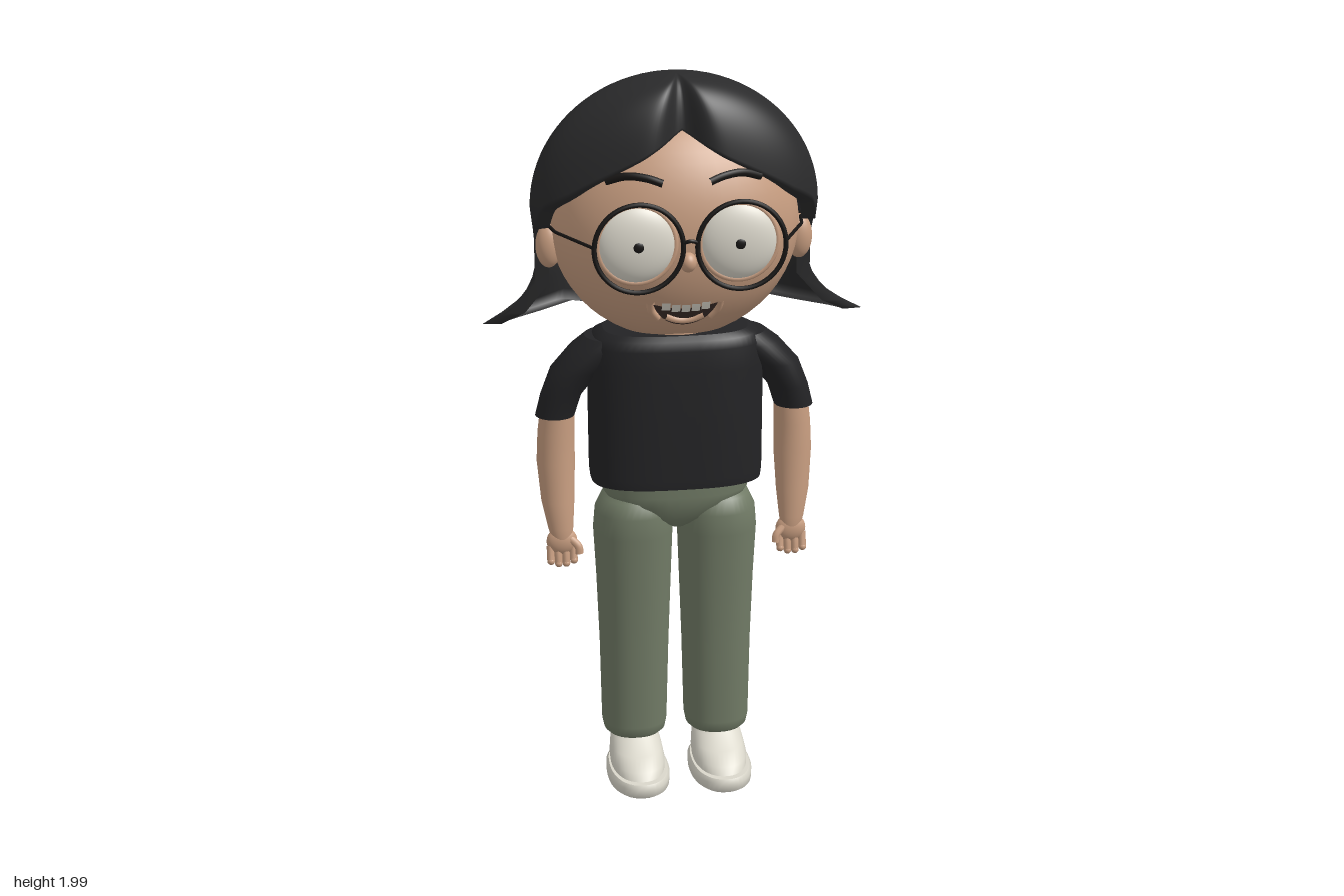
import * as THREE from 'three';

const mat = (name, color, side = THREE.FrontSide) => {
  const m = new THREE.MeshStandardMaterial({ color, side });
  m.name = name;
  return m;
};

// Stacked horizontal superellipse rings [x, y, z, halfWidth, halfDepth], bottom to top, closed at both ends
function loft(rings, power = 2, n = 40) {
  const first = rings[0], last = rings[rings.length - 1];
  const flat = (r) => [r[0], r[1], r[2], 0, 0];
  // doubled end rings keep the rim crisp
  const all = [flat(first), first, first, ...rings.slice(1), last, flat(last)];
  const pos = [], idx = [];
  const sp = (v) => Math.sign(v) * Math.abs(v) ** (2 / power);
  all.forEach(([x, y, z, hx, hz], i) => {
    for (let j = 0; j < n; j++) {
      const a = (j / n) * Math.PI * 2;
      pos.push(x + hx * sp(Math.cos(a)), y, z + hz * sp(Math.sin(a)));
      if (i === all.length - 1) continue;
      const k = (j + 1) % n, p = i * n + j, q = i * n + k;
      idx.push(p, p + n, q, p + n, q + n, q);
    }
  });
  return surface(pos, idx);
}

function surface(pos, idx) {
  const g = new THREE.BufferGeometry();
  g.setAttribute('position', new THREE.Float32BufferAttribute(pos, 3));
  g.setIndex(idx);
  g.computeVertexNormals();
  return g;
}

// Head is an ellipsoid; headZ gives its front surface
const HEAD = { y: 1.6, rx: 0.33, ry: 0.31, rz: 0.225 };
const headZ = (x, y) =>
  HEAD.rz * Math.sqrt(Math.max(0, 1 - (x / HEAD.rx) ** 2 - ((y - HEAD.y) / HEAD.ry) ** 2));

// Smooth interpolation through [key, value] pairs
function sample(table, t) {
  for (let i = 1; i < table.length; i++) {
    const [a, va] = table[i - 1], [b, vb] = table[i];
    if (t <= b) return va + (vb - va) * ((t - a) / (b - a));
  }
  return table[table.length - 1][1];
}

// Bob hair: columns run from the crown to a hem whose height depends on the angle (0 = front)
function hairGeometry() {
  const hem = [[0, 1.87], [0.18, 1.835], [0.35, 1.8], [0.6, 1.755], [0.9, 1.7], [1.2, 1.66],
    [1.4, 1.605], [1.63, 1.59], [1.7, 1.36], [1.85, 1.32], [2.3, 1.35], [2.7, 1.32], [3.15, 1.335]];
  const cols = 180, rows = 36, pos = [], idx = [];
  for (let i = 0; i <= rows + 1; i++) {
    for (let j = 0; j < cols; j++) {
      const th = (j / cols) * Math.PI * 2 - Math.PI, a = Math.abs(th);
      const v = Math.min(i / rows, 1), y = 2 - (2 - sample(hem, a)) * v ** 1.6;
      const up = Math.max(0, (y - 1.65) / 0.35), low = Math.max(0, 1.65 - y);
      const round = Math.sqrt(Math.max(0, 1 - up * up));
      const full = Math.max(0, 1 - up ** 3.5) ** (1 / 3.5);
      // side tips flick outward
      const flick = Math.max(0, (1.5 - y) / 0.18) ** 2 * Math.exp(-(((a - 1.85) / 0.35) ** 2));
      const wave = 1 + 0.09 * low * Math.cos(th * 14);
      const parting = 1 - 0.3 * Math.exp(-((th / 0.16) ** 2));
      const rim = i > rows ? 0.9 : 1;
      const hx = 0.382 * round - 0.12 * Math.min(low, 0.2);
      const hz = Math.cos(th) > 0 ? 0.185 * full * parting : 0.268 * round * wave;
      const reach = th > 0 ? 0.185 : 0.165;
      pos.push(rim * (Math.sin(th) * hx + Math.sign(th) * flick * reach), y,
        rim * Math.cos(th) * hz);
      if (i > rows) continue;
      const k = (j + 1) % cols, p = i * cols + j, q = i * cols + k;
      idx.push(p, p + cols, q, p + cols, q + cols, q);
    }
  }
  return surface(pos, idx);
}

export function createModel() {
  const skin = mat('skin', 0xc79d80), hairMat = mat('hair', 0x2a2a2b, THREE.DoubleSide);
  const shirtMat = mat('shirt', 0x232325), pantsMat = mat('trousers', 0x717b66);
  const shoeMat = mat('shoes', 0xdad7cb), eyeMat = mat('eyeWhite', 0xdcd8cc);
  const black = mat('frameBlack', 0x171514), mouthMat = mat('mouth', 0x3a2c28);

  const root = new THREE.Group();
  root.name = 'figure';
  const add = (name, geo, material, x = 0, y = 0, z = 0) => {
    const m = new THREE.Mesh(geo, material);
    m.name = name;
    m.position.set(x, y, z);
    root.add(m);
    return m;
  };
  const ball = (name, material, x, y, z, rx, ry, rz) => {
    const m = add(name, new THREE.SphereGeometry(1, 40, 28), material, x, y, z);
    m.scale.set(rx, ry, rz);
    return m;
  };
  const tube = (name, pts, r, material, straight = false) => {
    const v = pts.map((p) => new THREE.Vector3(...p));
    const curve = straight ? new THREE.CurvePath() : new THREE.CatmullRomCurve3(v);
    if (straight) for (let i = 1; i < v.length; i++) curve.add(new THREE.LineCurve3(v[i - 1], v[i]));
    return add(name, new THREE.TubeGeometry(curve, 24, r, 8), material);
  };

  // Head and hair
  ball('head', skin, 0, HEAD.y, 0, HEAD.rx, HEAD.ry, HEAD.rz);
  ball('nose', skin, 0, 1.55, 0.225, 0.022, 0.026, 0.025);
  add('hair', hairGeometry(), hairMat);
  add('neck', new THREE.CylinderGeometry(0.1, 0.1, 0.1, 32), skin, 0, 1.32, 0);

  // Mouth: open grin, teeth, lower lip and cheek folds
  const onFace = (geo, lift) => {
    const p = geo.attributes.position;
    for (let i = 0; i < p.count; i++) p.setZ(i, headZ(p.getX(i), p.getY(i)) + lift);
    geo.computeVertexNormals();
    return geo;
  };
  const grin = new THREE.Shape();
  grin.moveTo(-0.085, 1.43);
  grin.quadraticCurveTo(0, 1.405, 0.085, 1.43);
  grin.quadraticCurveTo(0.06, 1.365, 0, 1.363);
  grin.quadraticCurveTo(-0.06, 1.365, -0.085, 1.43);
  add('mouth', onFace(new THREE.ShapeGeometry(grin, 16), 0.007), mouthMat);
  for (let i = 0; i < 5; i++) {
    const x = (i - 2) * 0.026;
    const tooth = new THREE.PlaneGeometry(0.022, 0.022, 2, 2).translate(x, 1.418 + 2 * x * x, 0);
    add('tooth', onFace(tooth, 0.011), eyeMat);
  }
  tube('lowerLip', [-0.05, -0.025, 0, 0.025, 0.05].map((x) => {
    const y = 1.377 + 6 * x * x;
    return [x, y, headZ(x, y) + 0.004];
  }), 0.009, skin);

  for (const s of [-1, 1]) {
    // Face details
    ball('ear', skin, s * 0.335, 1.55, 0, 0.035, 0.06, 0.03);
    ball('eye', eyeMat, s * 0.132, 1.6, 0.213, 0.104, 0.104, 0.042);
    add('eyeRim', new THREE.TorusGeometry(0.1, 0.008, 10, 48), skin, s * 0.132, 1.6, 0.222);
    ball('pupil', black, s * 0.131, 1.6, 0.253, 0.014, 0.014, 0.005);
    const brow = [[0.06, 1.75], [0.1, 1.762], [0.15, 1.765], [0.2, 1.75]];
    tube('eyebrow', brow.map(([x, y]) => [s * x, y, headZ(x, y) + 0.004]), 0.0105, black);
    tube('cheekFold', [[0.092, 1.435], [0.088, 1.41], [0.07, 1.385]]
      .map(([x, y]) => [s * x, y, headZ(x, y) + 0.003]), 0.01, skin);

    // Spectacles
    add('lensFrame', new THREE.TorusGeometry(0.114, 0.0065, 10, 56), black, s * 0.132, 1.6, 0.265);
    tube('temple', [[s * 0.243, 1.605, 0.265], [s * 0.325, 1.605, 0.08], [s * 0.342, 1.605, -0.03]],
      0.0045, black, true);

    // Sleeve, arm and hand
    add('sleeve', loft([
      [s * 0.327, 1.08, -0.002, 0.053, 0.054], [s * 0.31, 1.14, 0, 0.055, 0.06],
      [s * 0.268, 1.21, 0, 0.07, 0.075], [s * 0.2, 1.27, 0, 0.085, 0.085],
      [s * 0.17, 1.3, 0, 0.075, 0.08],
    ]), shirtMat);
    add('arm', loft([
      [s * 0.318, 0.735, 0.036, 0.028, 0.022], [s * 0.32, 0.765, 0.034, 0.034, 0.027],
      [s * 0.325, 0.84, 0.016, 0.045, 0.041], [s * 0.327, 0.95, -0.002, 0.052, 0.05],
      [s * 0.325, 1.03, -0.003, 0.05, 0.05], [s * 0.318, 1.12, -0.003, 0.046, 0.046],
    ]), skin);
    ball('palm', skin, s * 0.318, 0.727, 0.036, 0.042, 0.04, 0.023);
    for (let i = 0; i < 4; i++) {
      const x = 0.287 + i * 0.021, tip = 0.662 + 0.008 * Math.abs(i - 1.5);
      tube('finger', [[s * x, 0.715, 0.038], [s * x, 0.69, 0.045], [s * x, tip, 0.05]], 0.0105, skin);
      ball('fingertip', skin, s * x, tip, 0.05, 0.0105, 0.0105, 0.0105);
    }
    tube('thumb', [[s * 0.295, 0.735, 0.045], [s * 0.275, 0.715, 0.055], [s * 0.272, 0.695, 0.058]],
      0.011, skin);

    // Trouser leg
    add('trouserLeg', loft([
      [s * 0.117, 0.13, -0.003, 0.076, 0.076], [s * 0.117, 0.14, -0.003, 0.086, 0.086],
      [s * 0.117, 0.165, -0.003, 0.091, 0.09], [s * 0.116, 0.4, -0.004, 0.096, 0.095],
      [s * 0.116, 0.6, -0.006, 0.103, 0.105], [s * 0.117, 0.74, -0.007, 0.109, 0.115],
      [s * 0.115, 0.8, -0.006, 0.106, 0.115], [s * 0.112, 0.84, -0.005, 0.09, 0.1],
      [s * 0.11, 0.87, -0.005, 0.05, 0.06],
    ], 2.2), pantsMat);

    // Shoe
    add('shoeSole', loft([
      [s * 0.117, 0.006, 0.065, 0.075, 0.135], [s * 0.117, 0.015, 0.065, 0.086, 0.148],
      [s * 0.117, 0.038, 0.065, 0.087, 0.15], [s * 0.117, 0.05, 0.065, 0.08, 0.142],
    ], 2.3), shoeMat);
    add('shoeUpper', loft([
      [s * 0.117, 0.045, 0.058, 0.074, 0.134], [s * 0.117, 0.07, 0.048, 0.076, 0.126],
      [s * 0.117, 0.095, 0.025, 0.072, 0.102], [s * 0.117, 0.12, 0.0, 0.066, 0.076],
      [s * 0.117, 0.145, -0.005, 0.05, 0.055],
    ], 2.2), shoeMat);
  }
  tube('bridge', [[-0.022, 1.61, 0.265], [0, 1.617, 0.271], [0.022, 1.61, 0.265]], 0.005, black);

  // Shirt body
  add('shirt', loft([
    [0, 0.895, 0.002, 0.232, 0.137], [0, 0.92, 0.002, 0.235, 0.139], [0, 1.1, 0, 0.236, 0.138],
    [0, 1.22, 0, 0.236, 0.135], [0, 1.28, 0, 0.232, 0.132], [0, 1.305, 0, 0.22, 0.125],
    [0, 1.318, 0, 0.195, 0.11],
  ], 2.8, 56), shirtMat);

  // Trouser seat
  add('trouserSeat', loft([
    [0, 0.76, -0.005, 0.03, 0.07], [0, 0.79, -0.005, 0.1, 0.1], [0, 0.83, -0.005, 0.18, 0.115],
    [0, 0.86, -0.005, 0.2, 0.119], [0, 0.92, -0.003, 0.2, 0.118],
  ], 2.4, 48), pantsMat);

  root.children.forEach((m) => { m.position.x -= 0.008; });
  return root;
}
